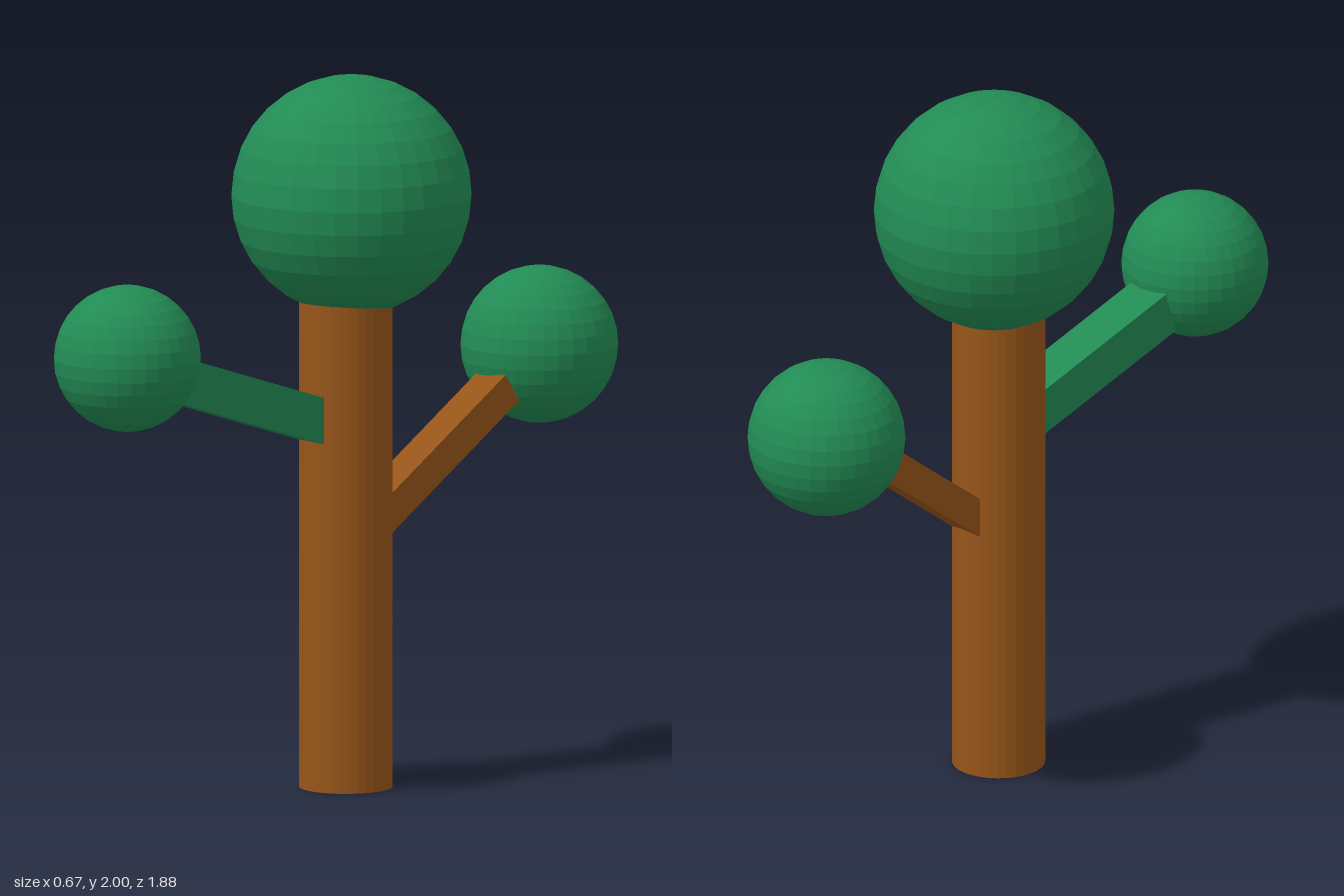
import * as THREE from 'three';

export function createModel() {
  const model = new THREE.Group();
  const bark = new THREE.MeshStandardMaterial({ color: 0x965519, flatShading: true });
  const leaf = new THREE.MeshStandardMaterial({ color: 0x228b54, flatShading: true });

  function add(name, geometry, material, x, y, z) {
    const mesh = new THREE.Mesh(geometry, material);
    mesh.name = name;
    mesh.position.set(x, y, z);
    model.add(mesh);
    return mesh;
  }

  // Square-cut beam between two points given as [y, z], at a fixed x
  function branch(name, material, x, [y0, z0], [y1, z1], width, thickness) {
    const length = Math.hypot(y1 - y0, z1 - z0);
    const beam = add(name, new THREE.BoxGeometry(width, thickness, length), material,
      x, (y0 + y1) / 2, (z0 + z1) / 2);
    beam.rotation.x = -Math.atan((y1 - y0) / (z1 - z0));
  }

  function foliage(name, radius, x, y, z) {
    add(name, new THREE.SphereGeometry(radius, 32, 16), leaf, x, y, z);
  }

  // Trunk, running up into the crown
  add('trunk', new THREE.CylinderGeometry(0.13, 0.13, 1.4, 32), bark, 0.01, 0.7, -0.025);

  // Branches, rooted inside the trunk
  branch('frontBranch', leaf, -0.003, [1.011, -0.02], [1.203, 0.567], 0.135, 0.125);
  branch('backBranch', bark, 0.02, [0.692, -0.03], [1.084, -0.555], 0.12, 0.09);

  // Balls of foliage
  foliage('crown', 0.335, 0, 1.665, -0.052);
  foliage('frontFoliage', 0.205, 0.01, 1.28, 0.737);
  foliage('backFoliage', 0.22, -0.02, 1.178, -0.722);

  return model;
}
